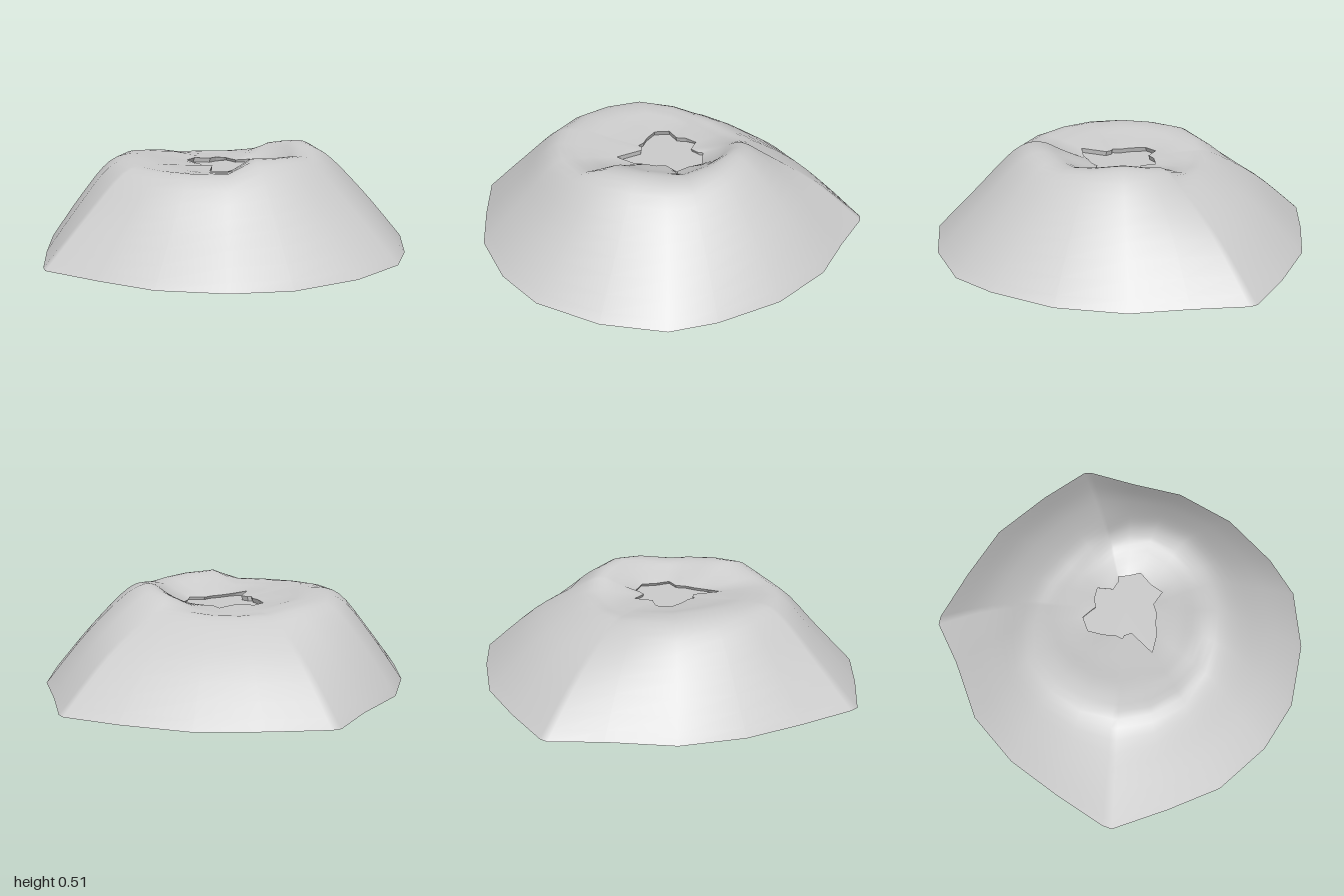
import * as THREE from 'three';

// One spoke per row, going round from the back:
// foot x, foot z, shoulder radius, shoulder height, crest height, lip radius
const SPOKES = [
  [0, -1, 0.48, 0.39, 0.40, 0.20],
  [0.35, -0.95, 0.50, 0.40, 0.42, 0.14],
  [0.63, -0.88, 0.52, 0.40, 0.46, 0.17],
  [0.66, -0.85, 0.52, 0.41, 0.47, 0.20],
  [0.77, -0.60, 0.53, 0.44, 0.49, 0.20],
  [0.90, -0.34, 0.53, 0.46, 0.51, 0.23],
  [0.955, 0, 0.53, 0.46, 0.49, 0.20],
  [0.91, 0.34, 0.53, 0.44, 0.47, 0.22],
  [0.83, 0.57, 0.54, 0.44, 0.48, 0.15],
  [0.60, 0.80, 0.55, 0.45, 0.49, 0.16],
  [0.29, 0.965, 0.57, 0.45, 0.50, 0.17],
  [0, 1, 0.58, 0.42, 0.43, 0.21],
  [-0.33, 0.95, 0.60, 0.42, 0.43, 0.27],
  [-0.60, 0.81, 0.62, 0.42, 0.44, 0.13],
  [-0.87, 0.65, 0.64, 0.42, 0.45, 0.14],
  [-0.89, 0.60, 0.64, 0.42, 0.45, 0.16],
  [-0.93, 0.30, 0.64, 0.42, 0.46, 0.15],
  [-0.955, 0, 0.63, 0.42, 0.46, 0.18],
  [-0.91, -0.32, 0.62, 0.42, 0.45, 0.23],
  [-0.75, -0.62, 0.56, 0.41, 0.43, 0.23],
  [-0.65, -0.86, 0.53, 0.39, 0.41, 0.17],
  [-0.61, -0.885, 0.53, 0.39, 0.41, 0.16],
  [-0.32, -0.95, 0.50, 0.39, 0.40, 0.18],
];
const FLOOR = 0.385;
const STEPS = 20;

// Radial section from foot to lip, placed along the spoke's direction
function spokeSection([x, z, shoulderR, shoulderY, crestY, lipR]) {
  const footR = Math.hypot(x, z);
  const bulge = 0.02 - 0.02 * z / footR;
  const lipY = x < 0 ? 0.41 : 0.40;
  const curve = new THREE.SplineCurve([
    new THREE.Vector2(footR, 0),
    new THREE.Vector2((footR + shoulderR) / 2, shoulderY / 2 + bulge),
    new THREE.Vector2(shoulderR, shoulderY),
    new THREE.Vector2(shoulderR * 0.76, crestY),
    new THREE.Vector2((shoulderR * 0.76 + lipR) / 2, (crestY + lipY) / 2),
    new THREE.Vector2(lipR, lipY),
  ]);
  return curve.getPoints(STEPS).map(
    (p) => new THREE.Vector3(p.x * x / footR, Math.max(0, p.y), p.x * z / footR));
}

// Closed skin through equal-length sections set round the y axis
function skin(sections) {
  const n = sections.length, m = sections[0].length;
  const index = [];
  for (let i = 0; i < n; i++) {
    for (let j = 0; j < m - 1; j++) {
      const a = i * m + j, b = ((i + 1) % n) * m + j;
      index.push(a, a + 1, b, b, a + 1, b + 1);
    }
  }
  const geometry = new THREE.BufferGeometry().setFromPoints(sections.flat());
  geometry.setIndex(index);
  geometry.computeVertexNormals();
  return geometry;
}

export function createModel() {
  const group = new THREE.Group();
  group.name = 'craterMound';
  const smooth = new THREE.MeshStandardMaterial({ color: 0xcccccc, side: THREE.DoubleSide });
  const faceted = new THREE.MeshStandardMaterial({
    color: 0xcccccc, side: THREE.DoubleSide, flatShading: true,
  });
  const add = (name, geometry, material) => {
    const mesh = new THREE.Mesh(geometry, material);
    mesh.name = name;
    group.add(mesh);
    return mesh;
  };

  // Slopes, rim and inner bowl
  const sections = SPOKES.map(spokeSection);
  add('moundSurface', skin(sections), smooth);

  // Broken edge dropping from the lip to the pit floor
  const edge = sections.map((s) => {
    const top = s[STEPS];
    return [top, new THREE.Vector3(top.x * 1.05, FLOOR, top.z * 1.05)];
  });
  add('brokenLip', skin(edge), faceted);

  // Flat pit floor
  const floor = add('pitFloor', new THREE.CircleGeometry(0.27, 24), smooth);
  floor.rotation.x = -Math.PI / 2;
  floor.position.y = FLOOR;

  // Flat underside
  const outline = new THREE.Shape(SPOKES.map(([x, z]) => new THREE.Vector2(x, z)));
  add('underside', new THREE.ShapeGeometry(outline), smooth).rotation.x = Math.PI / 2;

  return group;
}
